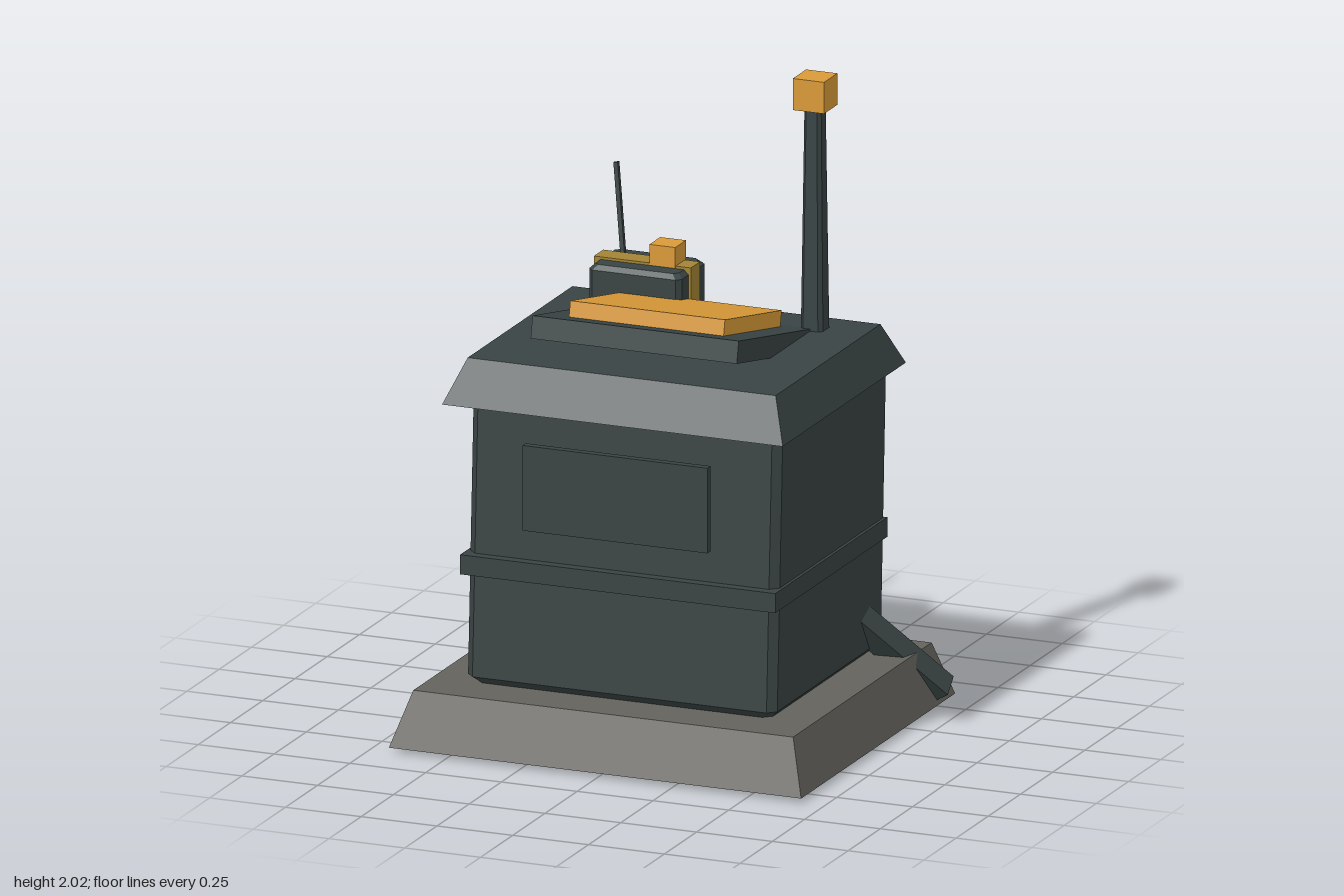
import * as THREE from 'three';

const material = (name, color) => {
  const m = new THREE.MeshStandardMaterial({ color });
  m.name = name;
  return m;
};

// Horizontal cross-section as a rectangle with optionally cut corners
function ring([y, x0, x1, z0, z1, c = 0]) {
  const pts = c === 0
    ? [[x0, z1], [x1, z1], [x1, z0], [x0, z0]]
    : [[x0 + c, z1], [x1 - c, z1], [x1, z1 - c], [x1, z0 + c],
       [x1 - c, z0], [x0 + c, z0], [x0, z0 + c], [x0, z1 - c]];
  return pts.map(([x, z]) => [x, y, z]);
}

// Flat-faced solid through stacked cross-sections, bottom to top
function loft(sections) {
  const rings = sections.map(ring);
  const n = rings[0].length;
  const pos = [];
  const tri = (a, b, c) => pos.push(...a, ...b, ...c);
  for (let k = 0; k < rings.length - 1; k++) {
    for (let i = 0; i < n; i++) {
      const j = (i + 1) % n;
      const lo = rings[k], up = rings[k + 1];
      tri(lo[i], lo[j], up[j]);
      tri(lo[i], up[j], up[i]);
    }
  }
  const bottom = rings[0], top = rings[rings.length - 1];
  for (let i = 1; i < n - 1; i++) {
    tri(bottom[0], bottom[i + 1], bottom[i]);
    tri(top[0], top[i], top[i + 1]);
  }
  const g = new THREE.BufferGeometry();
  g.setAttribute('position', new THREE.Float32BufferAttribute(pos, 3));
  g.computeVertexNormals();
  return g;
}

// Box from its minimum and maximum on each axis
function box(x0, x1, y0, y1, z0, z1) {
  return new THREE.BoxGeometry(x1 - x0, y1 - y0, z1 - z0)
    .translate((x0 + x1) / 2, (y0 + y1) / 2, (z0 + z1) / 2);
}

// Square bar between two points
function bar(from, to, width, depth = width) {
  const a = new THREE.Vector3(...from), b = new THREE.Vector3(...to);
  const dir = b.clone().sub(a);
  const g = new THREE.BoxGeometry(width, dir.length(), depth);
  g.applyQuaternion(new THREE.Quaternion().setFromUnitVectors(
    new THREE.Vector3(0, 1, 0), dir.normalize()));
  const mid = a.add(b).multiplyScalar(0.5);
  return g.translate(mid.x, mid.y, mid.z);
}

export function createModel() {
  const slate = material('dark slate', 0x394343);
  const stone = material('grey stone', 0x64625c);
  const amber = material('amber', 0xd99a38);
  const olive = material('olive strap', 0xa38435);

  const model = new THREE.Group();
  model.name = 'console';
  const add = (name, geometry, mat) => {
    const mesh = new THREE.Mesh(geometry, mat);
    mesh.name = name;
    model.add(mesh);
    return mesh;
  };

  // Sloping plinth
  add('plinth', loft([
    [0, -0.685, 0.675, -0.595, 0.6],
    [0.172, -0.63, 0.623, -0.535, 0.54],
  ]), stone);

  // Bevelled cabinet leaning slightly backward
  add('cabinet', loft([
    [0.17, -0.49, 0.48, -0.42, 0.385, 0.025],
    [0.195, -0.515, 0.505, -0.443, 0.41, 0.025],
    [1.04, -0.515, 0.505, -0.482, 0.368, 0.025],
    [1.068, -0.49, 0.48, -0.46, 0.342, 0.025],
  ]), slate);
  add('band', box(-0.525, 0.515, 0.52, 0.582, -0.445, 0.424), slate);

  // Overhanging lid
  add('lid', loft([
    [1.065, -0.567, 0.557, -0.49, 0.465],
    [1.2, -0.513, 0.503, -0.42, 0.393],
  ]), slate);

  // Front plate on slanted brackets
  add('frontPlate', box(-0.31, 0.3, 0.69, 0.96, 0.42, 0.445), slate);
  for (const x of [-0.22, 0.21]) {
    for (const y of [0.77, 0.87]) {
      add('plateBracket', bar([x, y, 0.43], [x, y + 0.055, 0.34], 0.03), slate);
    }
  }

  // Tilted desk with a raised amber panel
  const desk = add('desk', new THREE.BoxGeometry(0.68, 0.07, 0.62), slate);
  desk.position.set(-0.005, 1.225, -0.011);
  desk.rotation.x = -0.208;
  const panel = new THREE.Mesh(new THREE.BoxGeometry(0.51, 0.055, 0.45), amber);
  panel.name = 'deskPanel';
  panel.position.set(0, 0.0575, 0);
  desk.add(panel);

  // Mast with a beacon block
  add('mast', loft([
    [1.19, 0.3, 0.373, -0.341, -0.268, 0.012],
    [1.91, 0.309, 0.364, -0.332, -0.277, 0.01],
  ]), slate);
  add('beacon', box(0.285, 0.388, 1.9, 2, -0.356, -0.253), amber);

  // Small bevelled radio with strap, knob and aerial
  add('radio', loft([
    [1.19, -0.363, -0.058, -0.39, -0.183, 0.015],
    [1.337, -0.363, -0.058, -0.39, -0.183, 0.015],
    [1.352, -0.348, -0.073, -0.375, -0.198, 0.015],
  ]), slate);
  add('radioStrap', box(-0.37, -0.05, 1.2, 1.36, -0.322, -0.25), olive);
  add('radioKnob', box(-0.185, -0.1, 1.355, 1.42, -0.329, -0.246), amber);
  add('radioAerial', bar([-0.313, 1.34, -0.345], [-0.349, 1.627, -0.375], 0.014), slate);

  // Rear braces running from the cabinet to the plinth corners
  add('rightBrace', bar([-0.46, 0.35, -0.405], [-0.66, 0.02, -0.548], 0.085), slate);
  add('leftBrace', bar([0.47, 0.3, -0.305], [0.675, 0.04, -0.495], 0.075), slate);

  return model;
}
